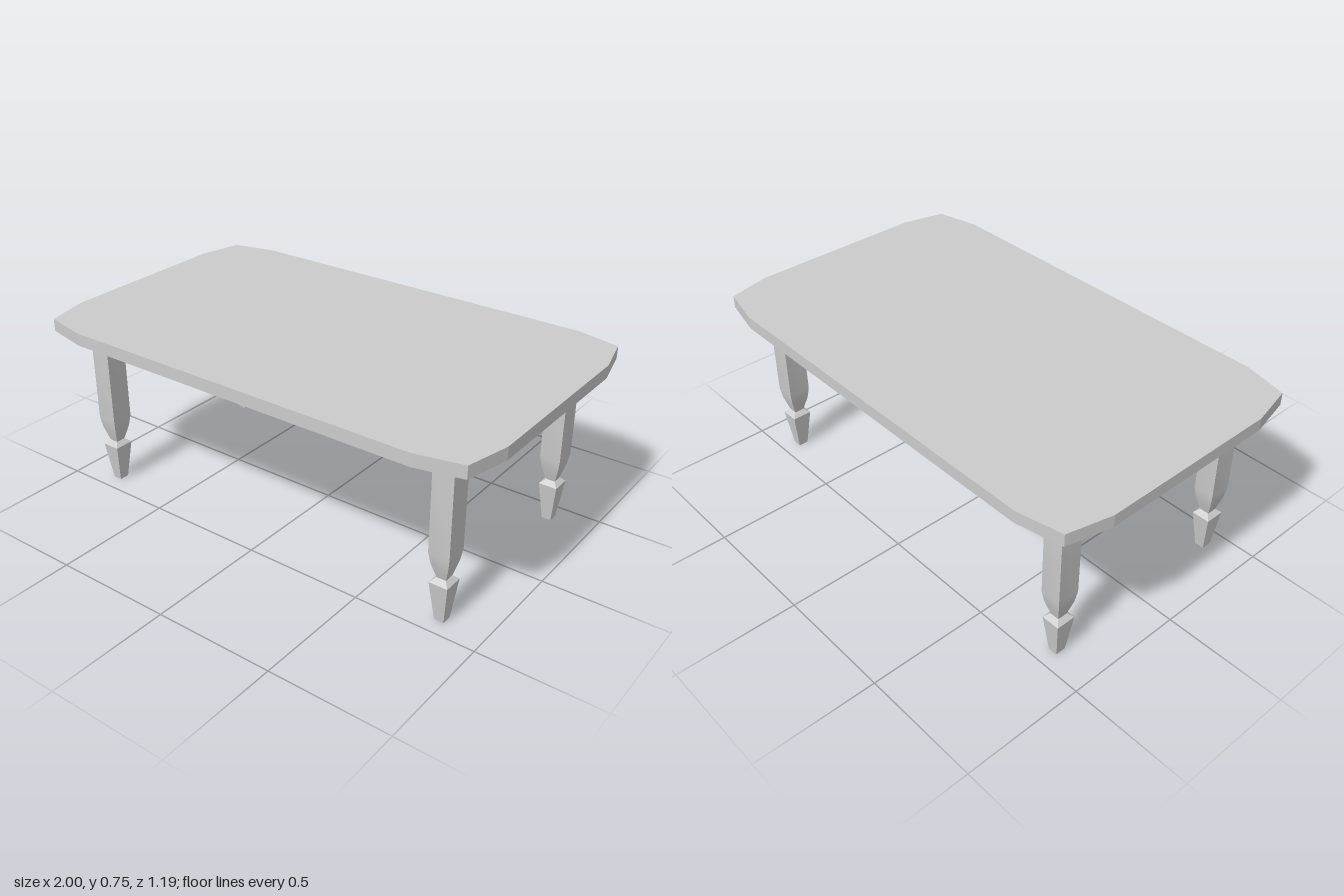
import * as THREE from 'three';
import { toCreasedNormals } from 'three/addons/utils/BufferGeometryUtils.js';

export function createModel() {
  const table = new THREE.Group();
  table.name = 'table';
  const material = new THREE.MeshStandardMaterial({ color: 0xcccccc });

  const add = (name, geometry, x, y, z) => {
    const mesh = new THREE.Mesh(geometry, material);
    mesh.name = name;
    mesh.position.set(x, y, z);
    table.add(mesh);
    return mesh;
  };

  const underside = 0.698, topThickness = 0.052;
  const legX = 0.816, legZ = 0.412;        // leg centres
  const halfX = 0.043, halfZ = 0.0465;     // leg half widths

  // Tabletop: rectangle with two-step chamfered corners
  const corner = [[1, 0.375], [0.958, 0.556], [0.774, 0.597]];
  const mirrored = [...corner].reverse();
  const outline = [
    ...corner,
    ...mirrored.map(([x, z]) => [-x, z]),
    ...corner.map(([x, z]) => [-x, -z]),
    ...mirrored.map(([x, z]) => [x, -z]),
  ].map(([x, z]) => new THREE.Vector2(x, z));
  const top = new THREE.ExtrudeGeometry(new THREE.Shape(outline), { depth: topThickness, bevelEnabled: false });
  top.rotateX(-Math.PI / 2);
  add('tabletop', top, 0, underside, 0);

  // Legs: square-section profile of [half width, height], with waist and tapered foot
  const profile = [
    [0, 0], [0.021, 0], [0.0415, 0.166], [0.021, 0.184],
    [0.039, 0.246], [halfZ, 0.294], [halfZ, underside],
  ].map(([w, y]) => new THREE.Vector2(w * Math.SQRT2, y));
  const turned = new THREE.LatheGeometry(profile, 4, Math.PI / 4);
  turned.scale(halfX / halfZ, 1, 1);
  const leg = toCreasedNormals(turned, 0.5);
  for (const [sx, side] of [[1, 'Left'], [-1, 'Right']])
    for (const [sz, end] of [[1, 'front'], [-1, 'back']])
      add(`${end}${side}Leg`, leg, sx * legX, 0, sz * legZ);

  // Apron rails running between the legs
  const railHeight = 0.086, railThickness = 0.06;
  const railY = underside - railHeight / 2;
  const longRail = new THREE.BoxGeometry(2 * (legX - halfX), railHeight, railThickness);
  const shortRail = new THREE.BoxGeometry(railThickness, railHeight, 2 * (legZ - halfZ));
  add('frontApron', longRail, 0, railY, legZ);
  add('backApron', longRail, 0, railY, -legZ);
  add('leftApron', shortRail, legX, railY, 0);
  add('rightApron', shortRail, -legX, railY, 0);

  return table;
}
